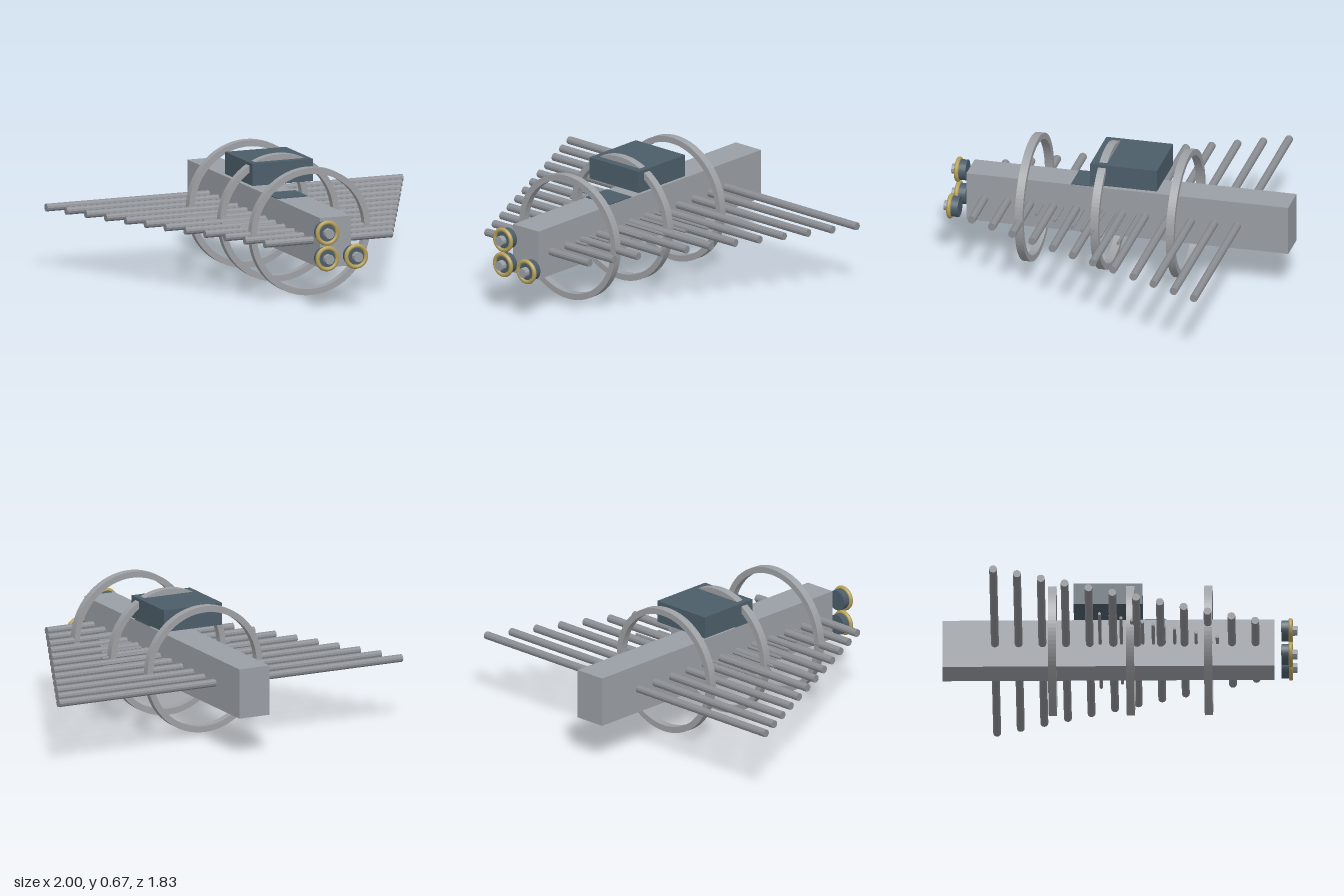
import * as THREE from 'three';

const flat = (name, color) => {
  const m = new THREE.MeshStandardMaterial({ color });
  m.name = name;
  return m;
};

export function createModel() {
  const model = new THREE.Group();
  model.name = 'antennaArray';

  const beamGrey = flat('beamGrey', 0x9a9fa5);
  const ringGrey = flat('ringGrey', 0x9da0a4);
  const rodGrey = flat('rodGrey', 0x8b8e93);
  const slate = flat('slate', 0x4b5d69);
  const gold = flat('gold', 0xb5a05a);
  const CY = 0.337; // height of the long axis

  const add = (name, geometry, material, x, y, z, parent = model) => {
    const mesh = new THREE.Mesh(geometry, material);
    mesh.name = name;
    mesh.position.set(x, y, z);
    parent.add(mesh);
    return mesh;
  };
  // Faceted cylinder turned along x or z
  const rod = (radius, length, sides, axis) => {
    const g = new THREE.CylinderGeometry(radius, radius, length, sides).toNonIndexed();
    g.computeVertexNormals();
    return axis === 'x' ? g.rotateZ(Math.PI / 2) : g.rotateX(Math.PI / 2);
  };

  // Central beam
  add('beam', new THREE.BoxGeometry(0.175, 0.262, 1.71), beamGrey, 0, CY + 0.001, -0.059);

  // Equipment box and the low plate ahead of it
  add('equipmentBox', new THREE.BoxGeometry(0.34, 0.116, 0.355), slate, 0, 0.58, -0.06);
  add('topPlate', new THREE.BoxGeometry(0.17, 0.009, 0.16), slate, 0, 0.4695, 0.16);

  // Three flat hoops around the beam
  const hoop = new THREE.Shape().absarc(0, 0, 0.334, 0, Math.PI * 2, false);
  hoop.holes.push(new THREE.Path().absarc(0, 0, 0.302, 0, Math.PI * 2, true));
  const hoopGeometry = new THREE.ExtrudeGeometry(hoop, { depth: 0.042, bevelEnabled: false, curveSegments: 48 });
  hoopGeometry.translate(0, 0, -0.021);
  for (const z of [0.457, 0.055, -0.347]) add('hoop', hoopGeometry, ringGrey, 0, CY - 0.002, z);

  // Twelve long rods, widening towards the back, and twelve thin short ones
  for (let i = 0; i < 12; i++) {
    const t = i / 11;
    const long = THREE.MathUtils.lerp(0.358, 1, t);
    add('longRod', rod(0.0205, long * 2, 12, 'x'), rodGrey, 0, CY, THREE.MathUtils.lerp(0.7, -0.643, t));
    const short = THREE.MathUtils.lerp(0.163, 0.45, t);
    add('shortRod', rod(0.0085, short * 2, 8, 'x'), rodGrey, 0, CY, THREE.MathUtils.lerp(0.503, -0.101, t));
  }

  // Three round sensors floating ahead of the beam
  const body = new THREE.CylinderGeometry(0.054, 0.054, 0.05, 24).rotateX(Math.PI / 2);
  const rim = new THREE.TorusGeometry(0.055, 0.0115, 10, 32);
  const hub = rod(0.026, 0.05, 10, 'z');
  for (const [x, y] of [[-0.082, 0.406], [-0.082, 0.271], [0.08, 0.271]]) {
    const sensor = new THREE.Group();
    sensor.name = 'sensor';
    sensor.position.set(x, y, 0);
    add('sensorBody', body, slate, 0, 0, 0.857, sensor);
    add('sensorRim', rim, gold, 0, 0, 0.88, sensor);
    add('sensorHub', hub, beamGrey, 0, 0, 0.889, sensor);
    model.add(sensor);
  }

  return model;
}
